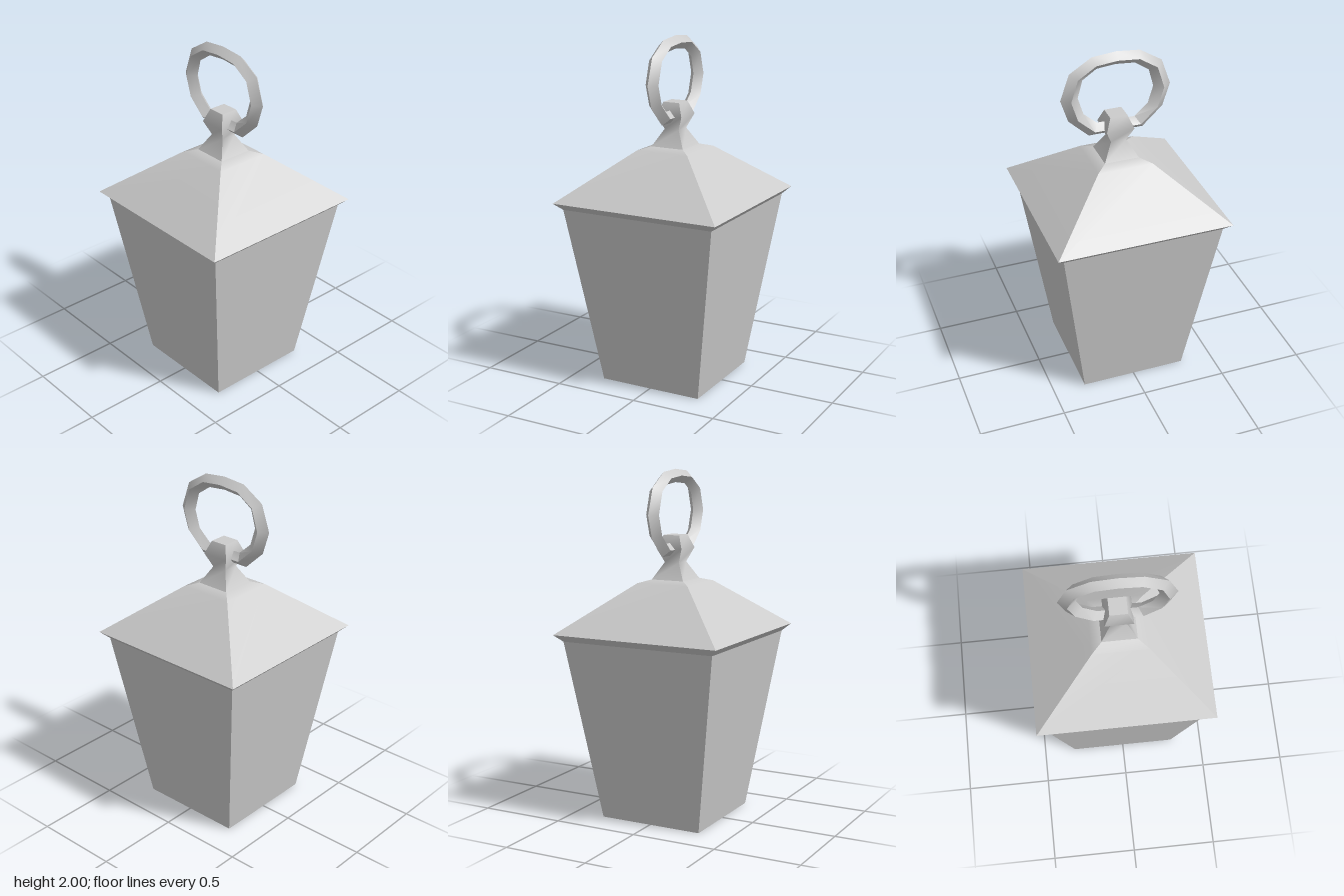
import * as THREE from 'three';
import { mergeGeometries, toCreasedNormals } from 'three/addons/utils/BufferGeometryUtils.js';

const material = new THREE.MeshStandardMaterial({ color: 0xcccccc });

// One flat-cornered side following a [half width, height] profile from bottom to top
function sideStrip(profile) {
  const positions = [], index = [];
  profile.forEach(([r, y], i) => {
    positions.push(-r, y, r, r, y, r);
    if (i) {
      const a = 2 * i - 2;
      index.push(a, a + 1, a + 3, a, a + 3, a + 2);
    }
  });
  const geometry = new THREE.BufferGeometry();
  geometry.setAttribute('position', new THREE.Float32BufferAttribute(positions, 3));
  geometry.setIndex(index);
  geometry.computeVertexNormals();
  return geometry;
}

// Square solid: each strip is smooth along its height, with sharp edges between strips
function squareSolid(name, ...strips) {
  const sides = [];
  for (const strip of strips) {
    for (let k = 0; k < 4; k++) sides.push(sideStrip(strip).rotateY(k * Math.PI / 2));
  }
  const mesh = new THREE.Mesh(mergeGeometries(sides), material);
  mesh.name = name;
  return mesh;
}

// Closed loop of diamond sections between an outer and an inner outline
function ringGeometry(outer, inner, halfDepth) {
  const positions = [], index = [], n = outer.length;
  outer.forEach(([ox, oy], i) => {
    const [ix, iy] = inner[i];
    const mx = (ox + ix) / 2, my = (oy + iy) / 2;
    positions.push(ox, oy, 0, mx, my, halfDepth, ix, iy, 0, mx, my, -halfDepth);
    const next = (i + 1) % n;
    for (let j = 0; j < 4; j++) {
      const k = (j + 1) % 4;
      const a = 4 * i + j, b = 4 * i + k, c = 4 * next + k, d = 4 * next + j;
      index.push(a, b, c, a, c, d);
    }
  });
  const geometry = new THREE.BufferGeometry();
  geometry.setAttribute('position', new THREE.Float32BufferAttribute(positions, 3));
  geometry.setIndex(index);
  return toCreasedNormals(geometry, Math.PI / 6);
}

// Completes an outline that starts on the centre line by mirroring it in x
const mirrored = (half) => [...half, ...half.slice(1).reverse().map(([x, y]) => [-x, y])];

export function createModel() {
  const group = new THREE.Group();
  group.name = 'lantern';

  // Tapered body with a closed base
  group.add(squareSolid('body', [[0, 0], [0.31, 0]], [[0.31, 0], [0.465, 1.045]]));

  // Roof: bevelled eaves, slope and a softly rounded shoulder
  group.add(squareSolid('roof',
    [[0.465, 1.045], [0.507, 1.085]],
    [[0.507, 1.085], [0.16, 1.36], [0.1, 1.378]]));

  // Waisted finial that holds the ring
  group.add(squareSolid('finial',
    [[0.1, 1.378], [0.045, 1.475], [0.08, 1.555], [0.05, 1.63]],
    [[0.05, 1.63], [0, 1.63]]));

  // Carrying ring
  const outer = mirrored([[0, 2], [0.137, 1.987], [0.265, 1.907], [0.317, 1.757], [0.275, 1.625], [0.158, 1.515]]);
  const inner = mirrored([[0, 1.925], [0.11, 1.915], [0.19, 1.86], [0.218, 1.757], [0.187, 1.655], [0.11, 1.587]]);
  const ring = new THREE.Mesh(ringGeometry(outer, inner, 0.04), material);
  ring.name = 'ring';
  group.add(ring);

  return group;
}
